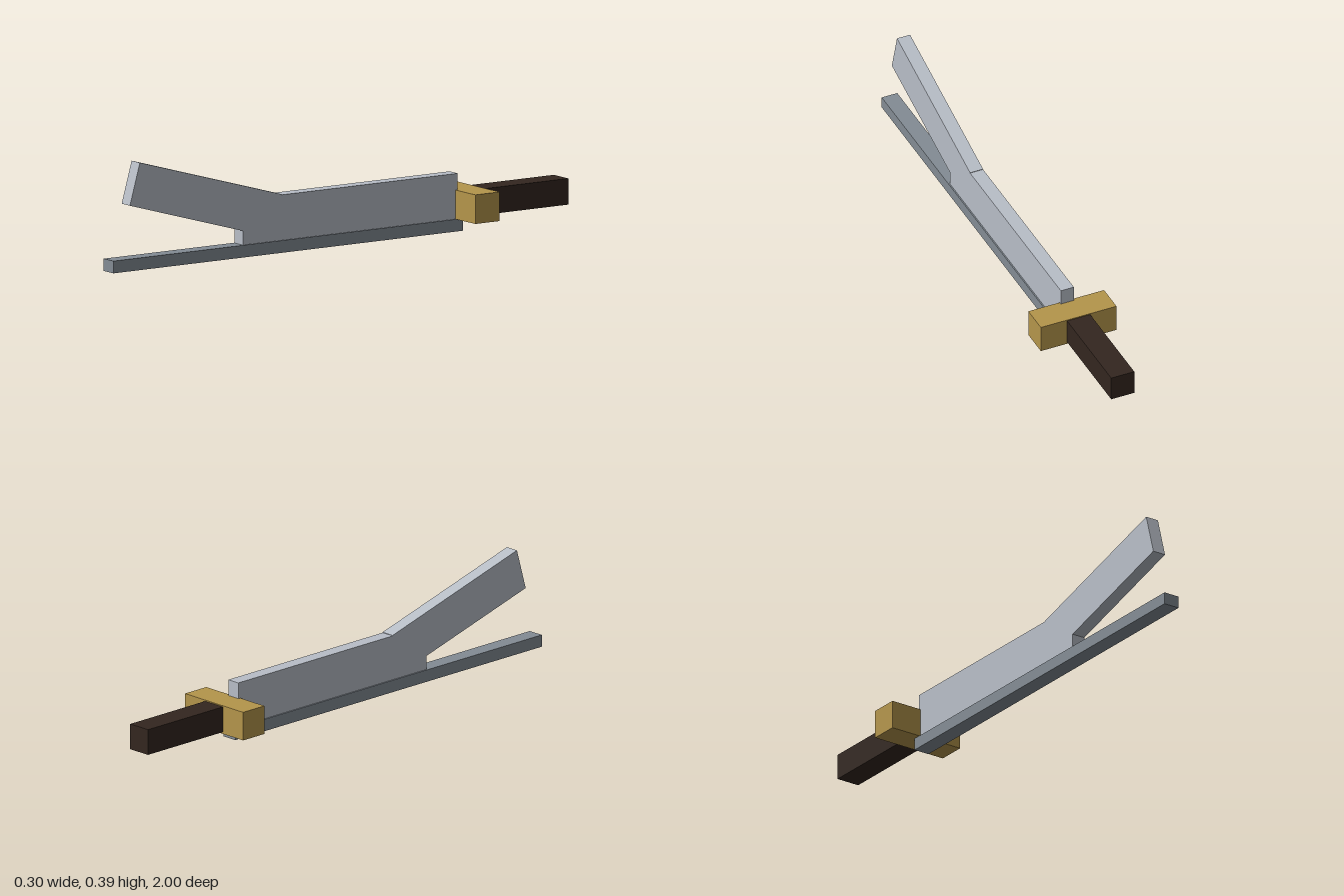
import * as THREE from 'three';

const steel = new THREE.MeshStandardMaterial({ color: 0xb8bec7 });
const darkSteel = new THREE.MeshStandardMaterial({ color: 0x838c94 });
const brass = new THREE.MeshStandardMaterial({ color: 0xb4954b });
const wood = new THREE.MeshStandardMaterial({ color: 0x33261f });

// Box given by its full width and its y and z ranges, centred on x = 0
function bar(name, material, width, [y0, y1], [z0, z1]) {
  const mesh = new THREE.Mesh(new THREE.BoxGeometry(width, y1 - y0, z1 - z0), material);
  mesh.name = name;
  mesh.position.set(0, (y0 + y1) / 2, (z0 + z1) / 2);
  return mesh;
}

export function createModel() {
  const sword = new THREE.Group();
  sword.name = 'sword';

  // Long edge strip and the main blade standing on it
  sword.add(bar('edgeStrip', darkSteel, 0.062, [0, 0.045], [-0.545, 1]));
  sword.add(bar('blade', steel, 0.052, [0.04, 0.212], [-0.525, 0.425]));

  // Raised blade tip, tilted upwards about its upper rear corner
  const tip = new THREE.Group();
  tip.name = 'raisedTip';
  tip.position.set(0, 0.214, 0.253);
  tip.rotation.x = -THREE.MathUtils.degToRad(16);
  tip.add(bar('tipBlade', steel, 0.052, [-0.16, 0], [0, 0.652]));
  sword.add(tip);

  // Cross guard and grip
  sword.add(bar('guard', brass, 0.302, [0.045, 0.152], [-0.622, -0.515]));
  sword.add(bar('grip', wood, 0.092, [0.052, 0.148], [-1, -0.6]));

  return sword;
}
